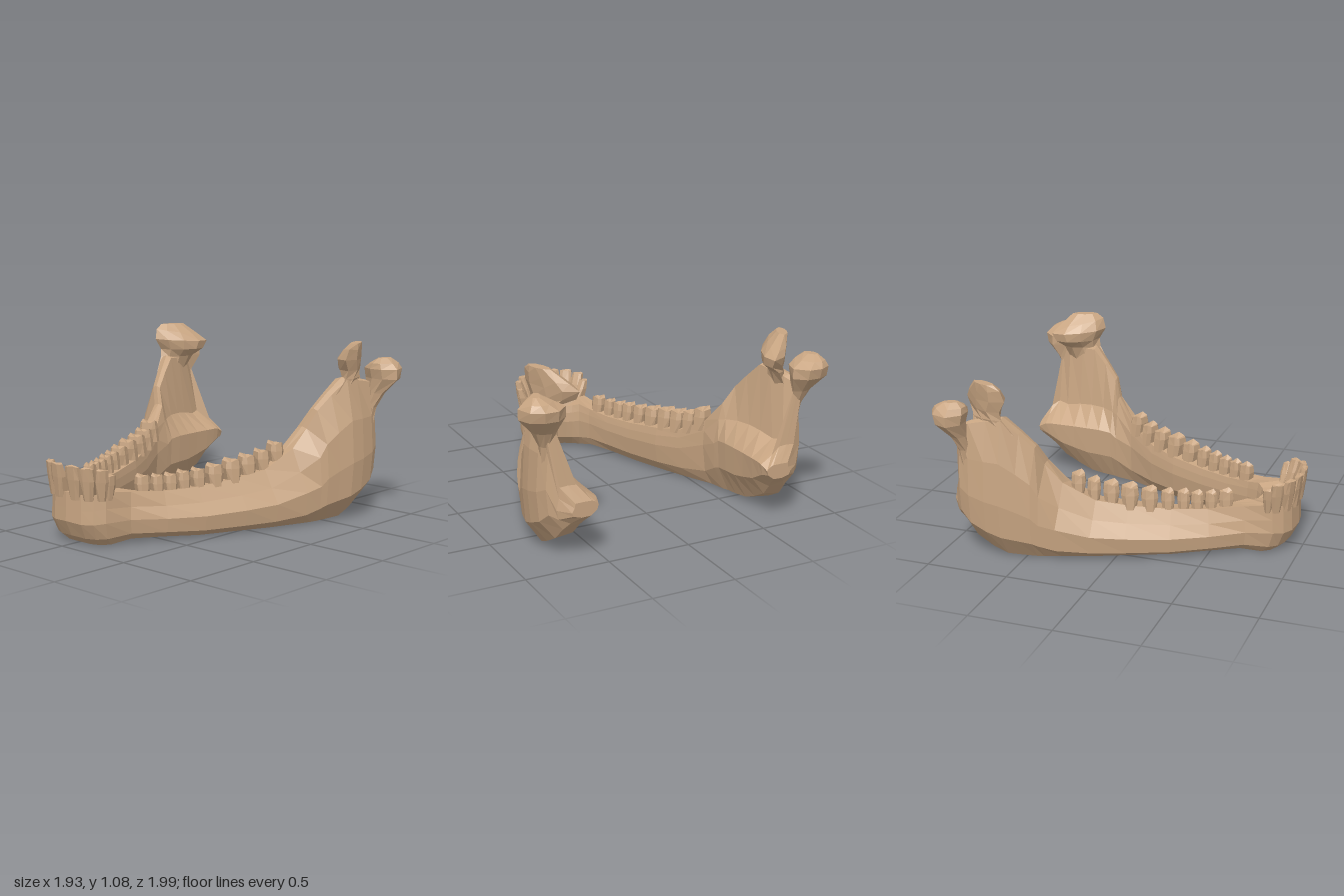
import * as THREE from 'three';

const bone = new THREE.MeshStandardMaterial({ color: 0xc8a582, flatShading: true });
bone.name = 'bone';

// Skin a list of equal-length rings of [x, y, z]; ends closed with fans.
// capDip lowers the centre of the last cap.
function loft(rings, name, capDip = 0) {
  const n = rings[0].length;
  const pts = rings.flat().map((p) => new THREE.Vector3(...p));
  const idx = [];
  for (let r = 0; r < rings.length - 1; r++) {
    for (let i = 0; i < n; i++) {
      const a = r * n + i, b = r * n + (i + 1) % n;
      idx.push(a, b, b + n, a, b + n, a + n);
    }
  }
  for (const [start, last] of [[0, false], [(rings.length - 1) * n, true]]) {
    const c = new THREE.Vector3();
    for (let i = 0; i < n; i++) c.addScaledVector(pts[start + i], 1 / n);
    if (last) c.y -= capDip;
    pts.push(c);
    for (let i = 0; i < n; i++) {
      const a = start + i, b = start + (i + 1) % n;
      idx.push(...(last ? [a, b, pts.length - 1] : [b, a, pts.length - 1]));
    }
  }
  // make the faces point outwards whichever way the rings run
  let volume = 0;
  const cross = new THREE.Vector3();
  for (let i = 0; i < idx.length; i += 3) {
    const [a, b, c] = [0, 1, 2].map((k) => pts[idx[i + k]]);
    volume += a.dot(cross.crossVectors(b, c));
  }
  if (volume < 0) idx.reverse();
  const g = new THREE.BufferGeometry().setFromPoints(pts);
  g.setIndex(idx);
  const flat = g.toNonIndexed();
  flat.computeVertexNormals();
  const mesh = new THREE.Mesh(flat, bone);
  mesh.name = name;
  return mesh;
}

const lerp = THREE.MathUtils.lerp;

// Body stations: outer x, z, inner x, z, top y, bottom y, ridge width (0..1), lower edge (0..1)
const stations = [
  [0, 0.97, 0, 0.73, 0.32, 0.015, 0.97, 0.82],
  [0.11, 0.955, 0.05, 0.715, 0.31, 0.01, 0.97, 0.82],
  [0.175, 0.92, 0.085, 0.7, 0.315, 0.008, 0.96, 0.83],
  [0.22, 0.865, 0.12, 0.67, 0.33, 0.01, 0.95, 0.86],
  [0.265, 0.71, 0.16, 0.6, 0.31, 0.03, 0.8, 0.9],
  [0.375, 0.52, 0.215, 0.45, 0.295, 0.025, 0.65, 0.93],
  [0.48, 0.31, 0.28, 0.27, 0.3, 0.012, 0.6, 0.93],
  [0.585, 0.07, 0.355, 0.05, 0.325, 0.01, 0.58, 0.93],
  [0.66, -0.12, 0.43, -0.12, 0.36, 0.008, 0.55, 0.94],
  [0.73, -0.31, 0.505, -0.29, 0.47, 0.01, 0.5, 0.95],
];

function bodyRing([xo, zo, xi, zi, top, bot, ridge, low], s) {
  const section = [
    [0.06, 0.95], [ridge * 0.5, 0.97], [ridge, 1], [(ridge + 1) / 2, 0.7], [1, 0.44],
    [low, 0.14], [0.62, 0], [0.3, 0.02], [0.08, 0.22], [0, 0.6], [0.02, 0.8],
  ];
  return section.map(([u, v]) => [s * lerp(xi, xo, u), lerp(bot, top, v), lerp(zi, zo, u)]);
}

// Ramus slices continue the body:
// z, outer x, inner x, top y, bottom y, crest x, crest half width, hollow x, hollow y, shelf y
const ramusSlices = [
  [-0.4, 0.765, 0.515, 0.59, 0.01, 0.605, 0.035, 0.545, 0.48, 0.33],
  [-0.44, 0.785, 0.52, 0.7, 0.012, 0.66, 0.03, 0.57, 0.49, 0.36],
  [-0.52, 0.81, 0.52, 0.79, 0.015, 0.695, 0.035, 0.605, 0.5, 0.37],
  [-0.61, 0.842, 0.525, 0.88, 0.022, 0.735, 0.045, 0.63, 0.5, 0.37],
  [-0.7, 0.85, 0.53, 0.87, 0.06, 0.745, 0.04, 0.65, 0.49, 0.37],
  [-0.8, 0.842, 0.53, 0.85, 0.115, 0.77, 0.035, 0.67, 0.47, 0.37],
  [-0.868, 0.815, 0.53, 0.82, 0.19, 0.795, 0.025, 0.695, 0.48, 0.37],
  [-0.905, 0.77, 0.53, 0.46, 0.235, 0.7, 0.05, 0.6, 0.41, 0.365],
  [-0.955, 0.7, 0.54, 0.37, 0.28, 0.63, 0.05, 0.56, 0.36, 0.34],
];

function ramusRing([z, xo, xi, top, bot, xt, w, xh, yh, ys], s) {
  const y = (v) => lerp(bot, top, v);
  const section = [
    [xt - w, y(0.985)], [xt, top], [xt + w, y(0.985)], [xo - 0.015, y(0.7)], [xo, y(0.4)],
    [lerp(xi, xo, 0.95), y(0.16)], [lerp(xi, xo, 0.65), bot], [lerp(xi, xo, 0.3), y(0.02)],
    [xi + 0.01, lerp(bot, ys, 0.5)], [xi, ys], [xh, yh],
  ];
  return section.map(([px, py]) => [s * px, py, z]);
}

// Slices of the two upper knobs: y, end A x, z, end B x, z, half thickness, drop of end B
const coronoidSlices = [
  [0.78, 0.75, -0.54, 0.74, -0.8, 0.04, 0],
  [0.87, 0.775, -0.6, 0.69, -0.82, 0.045, 0],
  [0.92, 0.785, -0.61, 0.62, -0.85, 0.065, 0],
  [0.99, 0.795, -0.57, 0.615, -0.88, 0.072, 0.02],
  [1.055, 0.805, -0.59, 0.66, -0.85, 0.055, 0.045],
  [1.085, 0.8, -0.63, 0.74, -0.78, 0.03, 0],
];
const condyleSlices = [
  [0.52, 0.8, -0.8, 0.77, -0.83, 0.03, 0],
  [0.68, 0.83, -0.81, 0.765, -0.85, 0.035, 0],
  [0.77, 0.88, -0.83, 0.75, -0.88, 0.05, 0],
  [0.86, 0.965, -0.86, 0.715, -0.92, 0.09, 0],
  [0.92, 0.965, -0.86, 0.715, -0.92, 0.105, 0],
  [0.955, 0.93, -0.86, 0.78, -0.9, 0.09, 0],
  [0.985, 0.89, -0.86, 0.84, -0.88, 0.045, 0],
];

function knobRing([y, ax, az, bx, bz, h, drop], s) {
  const len = Math.hypot(bx - ax, bz - az);
  const nx = -(bz - az) / len * h, nz = (bx - ax) / len * h;
  const at = (t, k) => [s * (lerp(ax, bx, t) + k * nx), y - drop * t, lerp(az, bz, t) + k * nz];
  return [at(0, 0), at(0.2, 0.8), at(0.5, 1), at(0.8, 0.8), at(1, 0), at(0.8, -0.8), at(0.5, -1), at(0.2, -0.8)];
}

// A tooth: width runs along the row, depth across it; lean tips it outwards.
function tooth(s, { x, z, angle, w, d, base, top, neck, tip, lean, cusp }, name) {
  const levels = [[base, neck, 1, 0], [lerp(base, top, 0.6), 1, lerp(1, tip, 0.5), 0.6], [top, 0.88, tip, 1]];
  const outline = [[1, 0.6], [0.5, 1], [-0.5, 1], [-1, 0.6], [-1, -0.6], [-0.5, -1], [0.5, -1], [1, -0.6]];
  const c = Math.cos(angle), n = Math.sin(angle);
  const rings = levels.map(([y, kw, kd, kl], level) => outline.map(([a, b], i) => {
    const u = a * kw * w / 2, v = b * kd * d / 2 + lean * kl;
    const drop = level === 2 && i % 4 !== 1 ? cusp : 0;
    return [s * (x + u * c + v * n), y - drop, z - u * n + v * c];
  }));
  return loft(rings, name, cusp * 1.5);
}

// Front teeth: x, z, facing angle, width, top y
const frontTeeth = [
  [0.061, 0.93, 0.1, 0.1, 0.48],
  [0.135, 0.905, 0.45, 0.085, 0.475],
  [0.18, 0.86, 0.95, 0.075, 0.465],
  [0.19, 0.82, 1.25, 0.06, 0.43],
];
// Cheek teeth: x, z, width along the row, depth, top y
const cheekTeeth = [
  [0.222, 0.575, 0.085, 0.085, 0.395],
  [0.262, 0.495, 0.07, 0.085, 0.39],
  [0.295, 0.42, 0.075, 0.095, 0.39],
  [0.325, 0.345, 0.075, 0.1, 0.4],
  [0.362, 0.26, 0.08, 0.105, 0.405],
  [0.4, 0.16, 0.1, 0.12, 0.42],
  [0.437, 0.05, 0.105, 0.13, 0.44],
  [0.465, -0.055, 0.095, 0.13, 0.455],
  [0.497, -0.15, 0.08, 0.13, 0.475],
  [0.53, -0.235, 0.085, 0.13, 0.515],
];

export function createModel() {
  const model = new THREE.Group();
  model.name = 'jawbone';

  // horseshoe body and both rami, one skin from rear to rear
  const half = (s) => [...stations.map((q) => bodyRing(q, s)), ...ramusSlices.map((q) => ramusRing(q, s))];
  model.add(loft([...half(-1).slice(1).reverse(), ...half(1)], 'jawBody'));

  for (const [s, label] of [[1, 'left'], [-1, 'right']]) {
    const side = new THREE.Group();
    side.name = label + 'Side';
    side.add(
      loft(coronoidSlices.map((q) => knobRing(q, s)), label + 'Coronoid'),
      loft(condyleSlices.map((q) => knobRing(q, s)), label + 'Condyle'),
    );
    for (const [x, z, angle, w, top] of frontTeeth) {
      side.add(tooth(s, { x, z, angle, w, d: 0.08, base: 0.28, top, neck: 0.65, tip: 0.45, lean: 0.045, cusp: 0.006 }, label + 'FrontTooth'));
    }
    for (const [x, z, w, d, top] of cheekTeeth) {
      const base = top - 0.14;
      side.add(tooth(s, { x, z, angle: 1.19, w, d, base, top, neck: 0.72, tip: 0.75, lean: 0, cusp: 0.015 }, label + 'CheekTooth'));
    }
    model.add(side);
  }
  return model;
}
